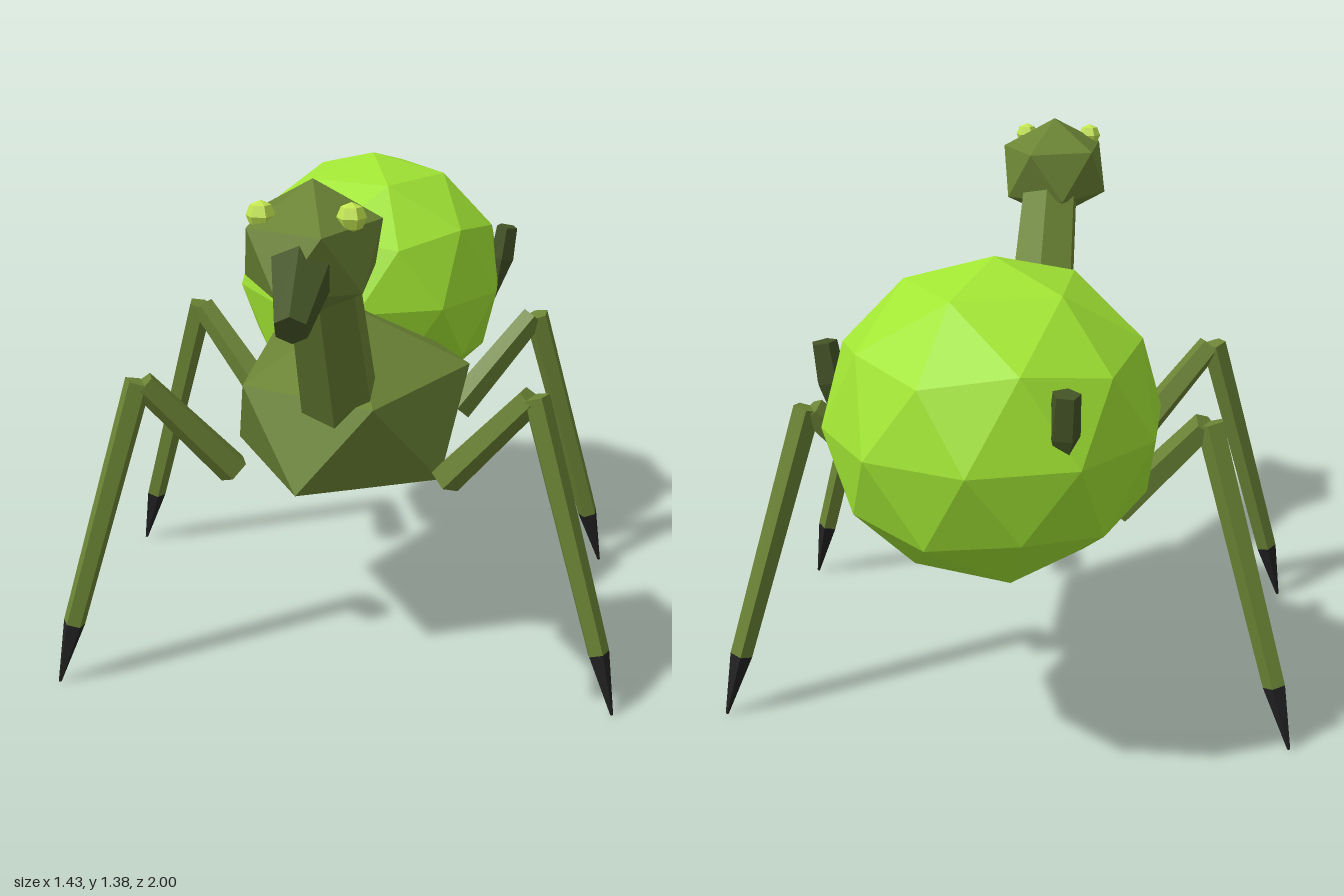
import * as THREE from 'three';

const paint = (name, color) => {
  const m = new THREE.MeshStandardMaterial({ color });
  m.name = name;
  return m;
};

export function createModel() {
  const model = new THREE.Group();
  model.name = 'longNeckedInsect';
  const olive = paint('olive', 0x6b8435);
  const lime = paint('lime', 0xa2e634);
  const dark = paint('darkOlive', 0x445426);
  const eyeGreen = paint('eyeGreen', 0xc2e650);
  const black = paint('black', 0x222224);

  const add = (parent, name, geometry, material) => {
    const flat = geometry.index ? geometry.toNonIndexed() : geometry;
    flat.computeVertexNormals();
    const mesh = new THREE.Mesh(flat, material);
    mesh.name = name;
    parent.add(mesh);
    return mesh;
  };

  // Faceted ellipsoid: icosahedron with a corner at each pole and one upper corner toward +x
  const facetBall = (name, material, center, radii, detail) => {
    const g = new THREE.IcosahedronGeometry(1, detail);
    g.rotateX(-Math.atan((1 + Math.sqrt(5)) / 2));
    g.rotateY(Math.PI / 2);
    g.scale(...radii);
    add(model, name, g, material).position.set(...center);
  };

  // Tapered rod from a to b
  const rod = (parent, name, material, a, b, ra, rb, sides) => {
    const start = new THREE.Vector3(...a), end = new THREE.Vector3(...b);
    const dir = end.clone().sub(start);
    const mesh = add(parent, name, new THREE.CylinderGeometry(rb, ra, dir.length(), sides), material);
    mesh.position.copy(start).add(end).multiplyScalar(0.5);
    mesh.quaternion.setFromUnitVectors(new THREE.Vector3(0, 1, 0), dir.normalize());
  };

  // Body, abdomen, head
  facetBall('thorax', olive, [0, 0.6375, -0.06], [0.352, 0.2625, 0.48], 0);
  facetBall('abdomen', lime, [0, 0.855, -0.57], [0.392, 0.372, 0.43], 1);
  facetBall('head', olive, [0, 1.237, 0.665], [0.168, 0.148, 0.247], 0);
  rod(model, 'neck', olive, [0, 0.71, 0.21], [0, 1.205, 0.57], 0.104, 0.083, 6);
  rod(model, 'snout', dark, [0, 1.236, 0.8], [0, 1.142, 0.982], 0.076, 0.037, 6);

  // Eyes
  for (const s of [1, -1]) {
    const eye = add(model, s > 0 ? 'leftEye' : 'rightEye', new THREE.SphereGeometry(0.032, 6, 4), eyeGreen);
    eye.position.set(s * 0.095, 1.325, 0.765);
  }

  // Four legs: thigh, shin and claw
  for (const sx of [1, -1]) {
    for (const sz of [1, -1]) {
      const leg = new THREE.Group();
      leg.name = (sz > 0 ? 'front' : 'back') + (sx > 0 ? 'Left' : 'Right') + 'Leg';
      model.add(leg);
      const p = (x, y, z) => [sx * x, y, -0.032 + sz * z];
      const knee = p(0.49, 0.802, 0.365), ankle = p(0.668, 0.164, 0.442);
      rod(leg, 'thigh', olive, p(0.272, 0.542, 0.272), p(0.48, 0.797, 0.362), 0.044, 0.035, 5);
      rod(leg, 'shin', olive, knee, ankle, 0.035, 0.029, 5);
      rod(leg, 'claw', black, ankle, p(0.71, 0.002, 0.46), 0.029, 0.004, 5);
    }
  }

  // Three downward spikes around the abdomen: a short shaft and a long point
  for (let i = 0; i < 3; i++) {
    const spike = new THREE.Group();
    spike.name = 'spike' + (i + 1);
    model.add(spike);
    const a = (i * Math.PI * 2) / 3;
    const at = (r, y) => [Math.cos(a) * r, y, -0.57 + Math.sin(a) * r];
    rod(spike, 'shaft', dark, at(0.382, 0.925), at(0.395, 1.018), 0.036, 0.031, 5);
    rod(spike, 'point', dark, at(0.365, 0.8), at(0.382, 0.925), 0.001, 0.036, 5);
  }
  return model;
}
